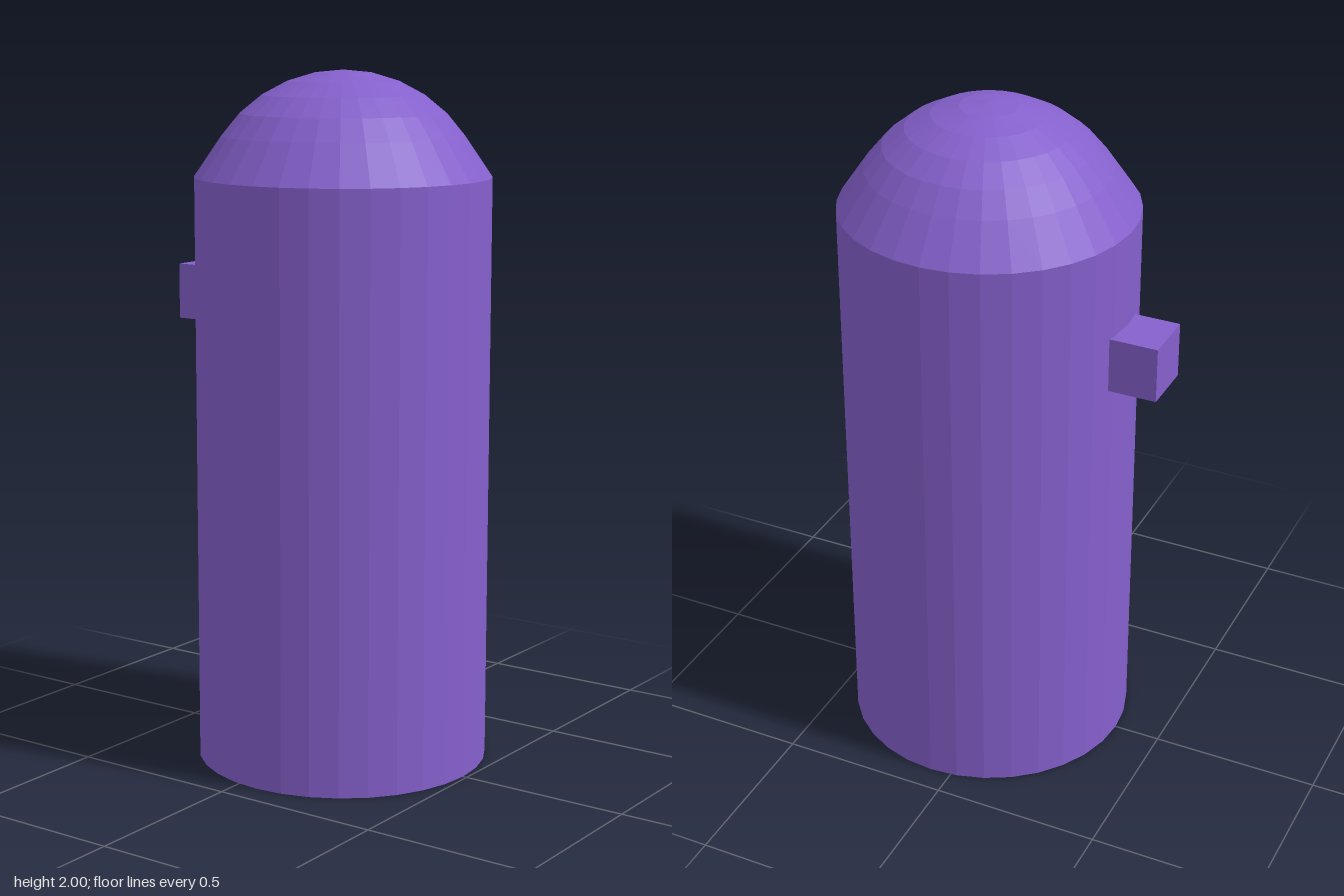
import * as THREE from 'three';

const SIDES = 32, RADIUS = 0.424, SHOULDER = 1.7, AXIS_Z = 0.064;
const DOME_RADIUS = 0.415, HEIGHT = 2;

export function createModel() {
  const model = new THREE.Group();
  const purple = new THREE.MeshStandardMaterial({ color: 0x8560cc, flatShading: true });

  const add = (name, geometry, x, y, z) => {
    const mesh = new THREE.Mesh(geometry, purple);
    mesh.name = name;
    mesh.position.set(x, y, z);
    model.add(mesh);
  };

  // Upright faceted body, closed underneath
  const wall = [[0, 0], [RADIUS, 0], [RADIUS, SHOULDER]].map(p => new THREE.Vector2(...p));
  add('body', new THREE.LatheGeometry(wall, SIDES), 0, 0, AXIS_Z);

  // Domed cap: a sloping shoulder, then five rings of a sphere up to the pole
  const cap = [new THREE.Vector2(RADIUS, SHOULDER)];
  for (let i = 5; i >= 0; i--) {
    const a = (i * Math.PI) / 16;
    cap.push(new THREE.Vector2(DOME_RADIUS * Math.sin(a), HEIGHT - DOME_RADIUS * (1 - Math.cos(a))));
  }
  add('domeCap', new THREE.LatheGeometry(cap, SIDES), 0, 0, AXIS_Z);

  // Small cube set into the back wall
  add('backBlock', new THREE.BoxGeometry(0.163, 0.163, 0.163), 0.019, 1.338, -0.407);

  return model;
}
